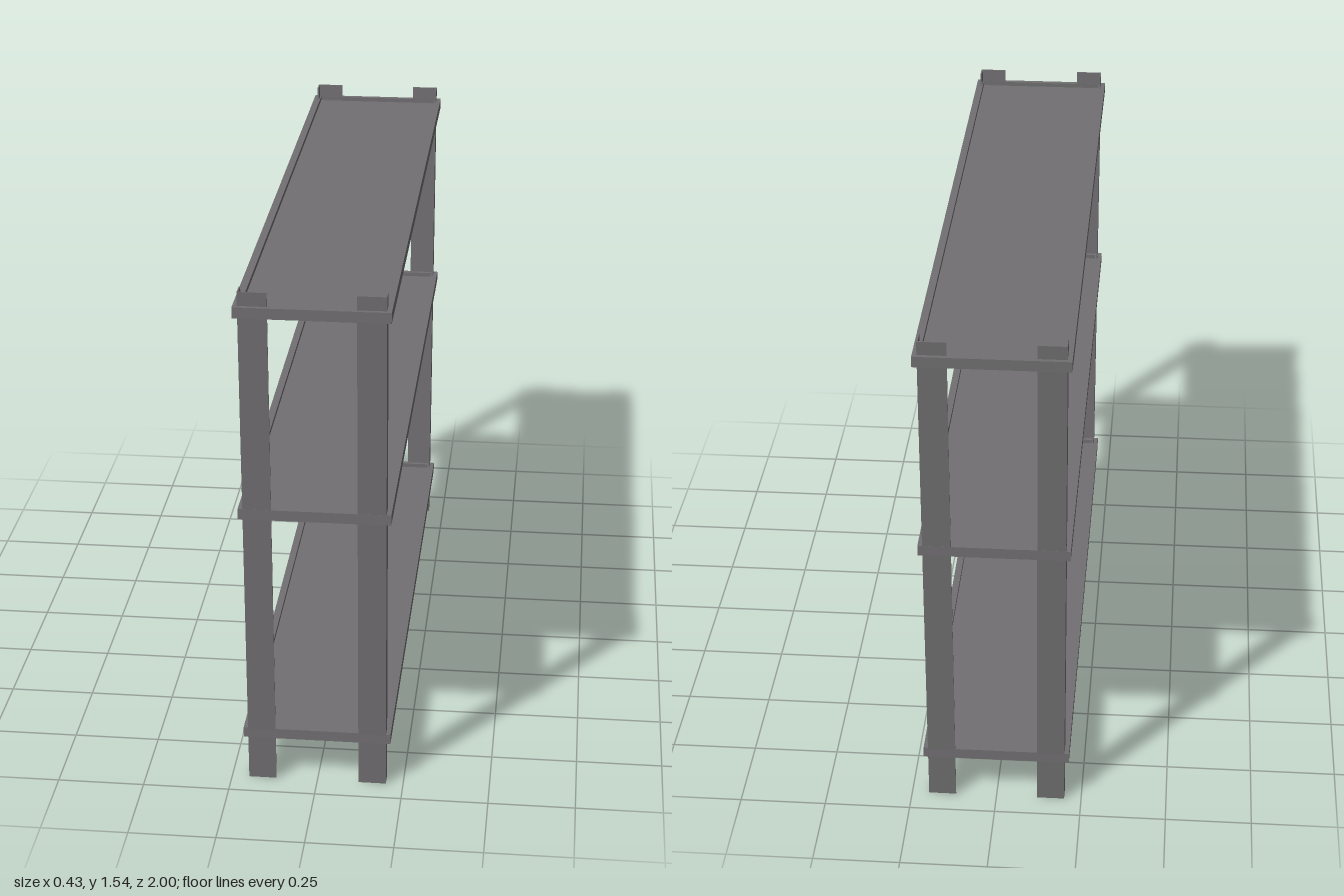
import * as THREE from 'three';

export function createModel() {
  const group = new THREE.Group();
  group.name = 'shelvingUnit';
  const steel = new THREE.MeshStandardMaterial({ color: 0x727072 });
  steel.name = 'dark grey steel';

  const add = (geometry, name, parent) => {
    const mesh = new THREE.Mesh(geometry, steel);
    mesh.name = name;
    parent.add(mesh);
    return mesh;
  };

  // Closed outline in x/z, raised upward and leaned outward with height
  const H = 1.537, LEAN = 0.065;
  function legGeometry(sx, sz) {
    const t = 0.004;
    const xo = 0.2, xi = 0.12, zo = 0.925, zi = 0.882;
    let pts = [[xi, zo], [xo, zo], [xo, zi], [xo - t, zi], [xo - t, zo - t], [xi, zo - t]]
      .map(([x, z]) => new THREE.Vector2(x * sx, -z * sz));
    const geo = new THREE.ExtrudeGeometry(new THREE.Shape(pts), { depth: H, bevelEnabled: false });
    geo.rotateX(-Math.PI / 2);
    const p = geo.attributes.position;
    for (let i = 0; i < p.count; i++) p.setZ(i, p.getZ(i) + sz * LEAN * p.getY(i) / H);
    geo.computeVertexNormals();
    return geo;
  }

  // Four angle-section legs
  for (const sx of [1, -1])
    for (const sz of [1, -1])
      add(legGeometry(sx, sz), `${sz > 0 ? 'front' : 'back'}${sx > 0 ? 'Left' : 'Right'}Leg`, group);

  // Rectangle outline for the shelf rim and its opening
  const rect = (Type, w, l) => new Type([[-w, -l], [w, -l], [w, l], [-w, l]]
    .map(([x, y]) => new THREE.Vector2(x, y)));

  // Shelves: raised rim around a recessed panel
  const W = 0.213, T = 0.031;
  const shelves = [
    ['bottomShelf', 0.138, 0.932],
    ['middleShelf', 0.855, 0.963],
    ['topShelf', 1.466, 1.0],
  ];
  for (const [name, y, half] of shelves) {
    const shelf = new THREE.Group();
    shelf.name = name;
    shelf.position.y = y;
    const outline = rect(THREE.Shape, W, half);
    outline.holes.push(rect(THREE.Path, W - 0.021, half - 0.016));
    const rim = new THREE.ExtrudeGeometry(outline, { depth: T, bevelEnabled: false });
    rim.rotateX(-Math.PI / 2);
    add(rim, 'rim', shelf);
    const panel = new THREE.BoxGeometry(2 * (W - 0.021), 0.018, 2 * (half - 0.016));
    add(panel, 'panel', shelf).position.y = 0.009;
    group.add(shelf);
  }
  return group;
}
